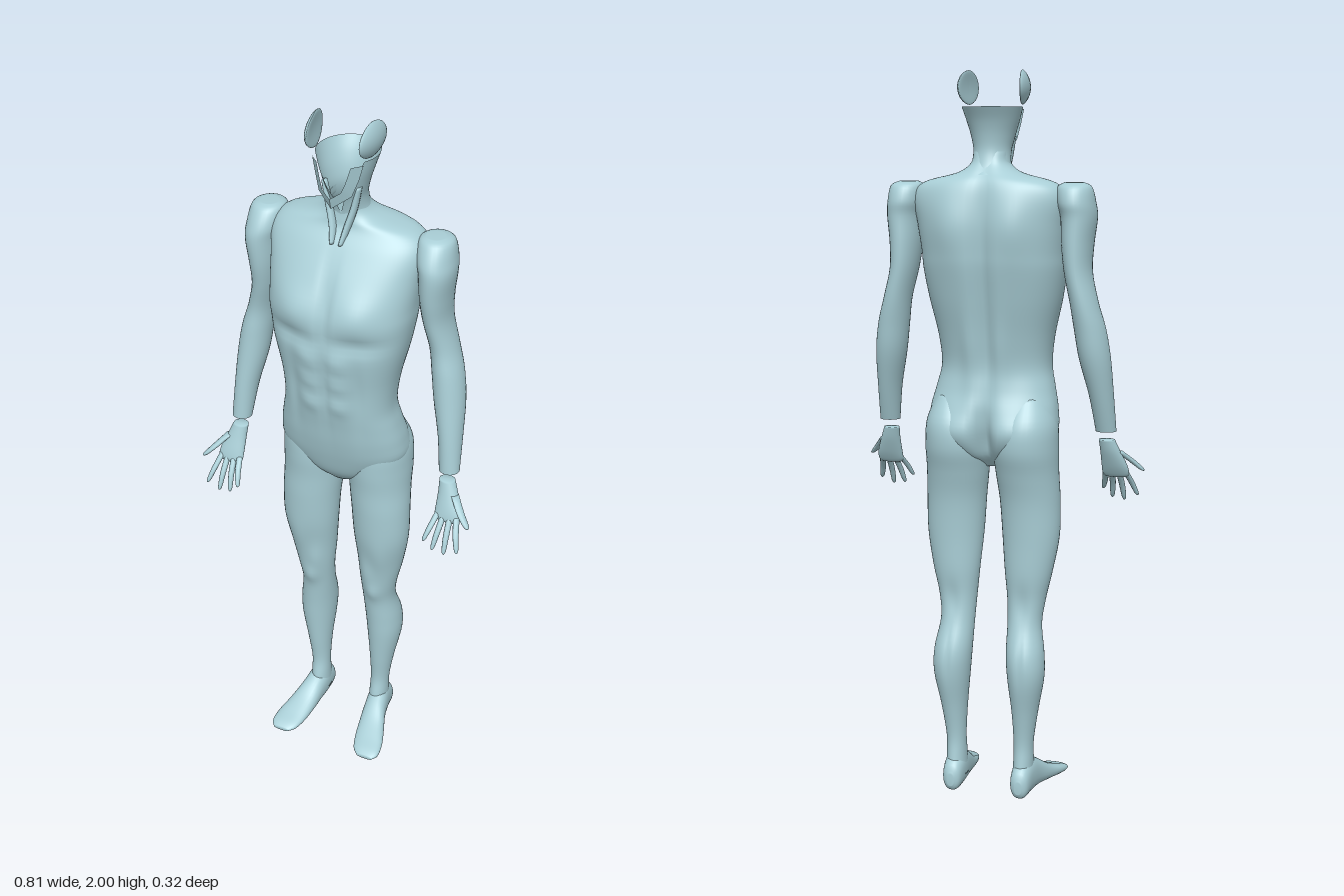
import * as THREE from 'three';

const skin = new THREE.MeshStandardMaterial({ color: 0xa9ced6, side: THREE.DoubleSide });
skin.name = 'paleBlue';

const spow = (v, e) => Math.sign(v) * Math.pow(Math.abs(v), e);

// Smooth (Catmull-Rom) subdivision of a list of section rows
function refine(rows, steps) {
  const out = [];
  const at = (i) => rows[Math.max(0, Math.min(rows.length - 1, i))];
  for (let i = 0; i < rows.length - 1; i++) {
    for (let s = 0; s < steps; s++) {
      const t = s / steps;
      out.push(rows[i].map((b, k) => {
        const a = at(i - 1)[k], c = at(i + 1)[k], d = at(i + 2)[k];
        return b + 0.5 * t * (c - a + t * (2 * a - 5 * b + 4 * c - d + t * (3 * (b - c) + d - a)));
      }));
    }
  }
  out.push(rows[rows.length - 1]);
  return out;
}

// Loft of superellipse sections. Row: [t, centre x, half width, low, high, front gap angle]
// axis 'y': rows go downwards, low/high are z. axis 'z': rows go forwards, low/high are y.
function loft(rows, { axis = 'y', segs = 32, steps = 5, n = 2, caps = [true, true], open = false, bumps = [] } = {}) {
  const R = refine(rows, steps), pos = [], idx = [], cols = open ? segs + 1 : segs;
  for (const [t, cx, hw, lo, hi, gap = 0] of R) {
    for (let j = 0; j < cols; j++) {
      const a = Math.PI / 2 + gap + (j / segs) * (Math.PI * 2 - 2 * gap);
      const s = Math.sin(a);
      const u = cx + hw * spow(Math.cos(a), 2 / n);
      let v = (lo + hi) / 2 + ((hi - lo) / 2) * spow(s, 2 / n);
      // muscle bumps: [x, y, radius x, radius y, amount, +1 front / -1 back]
      for (const [bx, by, rx, ry, amp, f] of bumps) {
        const ux = bx < 0.12 && cx === 0 ? Math.abs(u) : u;
        v += f * amp * Math.max(0, f * s) * Math.exp(-(((ux - bx) / rx) ** 2) - ((t - by) / ry) ** 2);
      }
      if (axis === 'y') pos.push(u, t, v); else pos.push(u, v, t);
    }
  }
  for (let i = 0; i < R.length - 1; i++) {
    for (let j = 0; j < segs; j++) {
      const k = (j + 1) % cols, a = i * cols + j, b = i * cols + k, c = a + cols, d = b + cols;
      idx.push(a, b, c, b, d, c);
    }
  }
  // end caps
  [0, R.length - 1].forEach((r, e) => {
    if (!caps[e] || open) return;
    const [t, cx, , lo, hi] = R[r], m = (lo + hi) / 2, centre = pos.length / 3;
    if (axis === 'y') pos.push(cx, t, m); else pos.push(cx, m, t);
    for (let j = 0; j < segs; j++) {
      const a = r * cols + j, b = r * cols + ((j + 1) % cols);
      if (e === 0) idx.push(centre, b, a); else idx.push(centre, a, b);
    }
  });
  return surface(pos, idx);
}

function surface(pos, idx) {
  const g = new THREE.BufferGeometry();
  g.setAttribute('position', new THREE.Float32BufferAttribute(pos, 3));
  g.setIndex(idx);
  g.computeVertexNormals();
  return g;
}

function mirrored(g) {
  const m = g.clone().scale(-1, 1, 1), ix = m.index;
  for (let i = 0; i < ix.count; i += 3) {
    const b = ix.getX(i + 1);
    ix.setX(i + 1, ix.getX(i + 2));
    ix.setX(i + 2, b);
  }
  m.computeVertexNormals();
  return m;
}

export function createModel() {
  const root = new THREE.Group();
  root.name = 'figure';
  const add = (name, geo) => {
    const m = new THREE.Mesh(geo, skin);
    m.name = name;
    root.add(m);
  };
  const pair = (name, geo) => {
    add('left' + name, geo);
    add('right' + name, mirrored(geo));
  };

  // Torso with chest, abdomen, spine and seat modelling
  const torsoBumps = [
    [0.09, 1.53, 0.06, 0.05, 0.014, 1], [0, 1.54, 0.014, 0.09, -0.014, 1],
    [0.1, 1.445, 0.08, 0.022, -0.012, 1], [0, 1.3, 0.01, 0.14, -0.007, 1],
    [0.09, 1.28, 0.018, 0.12, -0.008, 1],
    [0, 1.45, 0.025, 0.25, -0.022, -1], [0.09, 1.6, 0.05, 0.09, 0.014, -1],
    [0.04, 1.25, 0.025, 0.1, 0.01, -1], [0.085, 1.04, 0.05, 0.06, 0.014, -1],
    [0, 1.02, 0.022, 0.08, -0.045, -1],
  ];
  for (const y of [1.385, 1.315, 1.245]) torsoBumps.push([0.04, y, 0.028, 0.026, 0.008, 1]);
  add('torso', loft([
    [1.79, 0, 0.047, -0.08, 0.015], [1.76, 0, 0.052, -0.092, 0.015], [1.735, 0, 0.088, -0.11, 0.018],
    [1.71, 0, 0.18, -0.128, 0.025], [1.67, 0, 0.212, -0.14, 0.055], [1.6, 0, 0.205, -0.15, 0.1],
    [1.53, 0, 0.198, -0.15, 0.132], [1.48, 0, 0.195, -0.146, 0.143], [1.4, 0, 0.182, -0.13, 0.142],
    [1.3, 0, 0.16, -0.106, 0.13], [1.22, 0, 0.153, -0.092, 0.122], [1.16, 0, 0.165, -0.1, 0.11],
    [1.1, 0, 0.178, -0.118, 0.098], [1.04, 0, 0.178, -0.128, 0.082], [0.98, 0, 0.12, -0.105, 0.06],
    [0.94, 0, 0.04, -0.05, 0.03],
  ], { segs: 88, n: 2.35, caps: [false, true], bumps: torsoBumps }));

  // Flared collar of the neck, open at the front
  add('neckCollar', loft([
    [1.905, 0, 0.08, -0.115, 0.06, 0.95], [1.87, 0, 0.07, -0.097, 0.055, 0.8], [1.83, 0, 0.058, -0.085, 0.045, 0.6],
    [1.79, 0, 0.05, -0.082, 0.028, 0.25], [1.75, 0, 0.056, -0.094, 0.016, 0], [1.73, 0, 0.08, -0.11, 0.018, 0],
  ], { segs: 40, open: true }));

  // Tendons running from the neck to the breastbone
  pair('NeckTendon', loft([
    [1.83, 0.047, 0.007, 0.0, 0.022], [1.77, 0.034, 0.009, 0.0, 0.026],
    [1.72, 0.02, 0.009, 0.005, 0.038], [1.68, 0.012, 0.006, 0.03, 0.055],
  ], { segs: 12 }));

  // Jaw: two bent strips meeting at the chin
  pair('JawStrip', surface([
    0.068, 1.9, 0.035, 0.045, 1.9, 0.06,
    0.058, 1.86, 0.04, 0.034, 1.86, 0.066,
    0.044, 1.82, 0.05, 0.024, 1.835, 0.072,
    0, 1.79, 0.075, 0, 1.82, 0.084,
  ], [0, 2, 1, 1, 2, 3, 2, 4, 3, 3, 4, 5, 4, 6, 5, 5, 6, 7]));

  // Ear plates floating above the collar
  const ear = new THREE.SphereGeometry(1, 24, 16).scale(0.009, 0.045, 0.064);
  const ep = ear.attributes.position;
  for (let i = 0; i < ep.count; i++) {
    const y = ep.getY(i), z = ep.getZ(i);
    ep.setX(i, ep.getX(i) + 0.006 - 5 * y * y - 1.5 * z * z);
    ep.setY(i, y * (z > 0 ? 1 - 2 * z : 1));
  }
  ear.computeVertexNormals();
  pair('EarPlate', ear.rotateY(-0.12).translate(0.078, 1.956, 0.004));

  // Arms, open at the wrist
  pair('Arm', loft([
    [1.712, 0.23, 0.025, -0.07, -0.02], [1.7, 0.232, 0.045, -0.1, 0.002], [1.66, 0.236, 0.05, -0.115, 0.026],
    [1.62, 0.242, 0.047, -0.112, 0.034], [1.55, 0.24, 0.041, -0.113, 0.028], [1.48, 0.244, 0.036, -0.112, 0.014],
    [1.4, 0.262, 0.037, -0.108, 0.0], [1.33, 0.277, 0.042, -0.1, 0.005], [1.25, 0.289, 0.042, -0.088, 0.012],
    [1.15, 0.303, 0.033, -0.058, 0.022], [1.05, 0.312, 0.028, -0.025, 0.03],
  ], { caps: [true, false] }));

  // Hands: palm, four fingers and an outward thumb
  pair('Palm', loft([
    [1.025, 0.312, 0.022, -0.005, 0.03], [0.99, 0.32, 0.028, 0.005, 0.042],
    [0.95, 0.328, 0.036, 0.022, 0.056], [0.925, 0.33, 0.037, 0.036, 0.062], [0.915, 0.33, 0.028, 0.044, 0.06],
  ], { segs: 24 }));
  const digit = (x0, y0, z0, x1, y1, z1, r) => loft([0, 0.5, 0.9, 1].map((t, i) => {
    const w = r * [1, 0.95, 0.7, 0.25][i];
    const z = z0 + (z1 - z0) * t + 0.006 * Math.sin(t * Math.PI);
    return [y0 + (y1 - y0) * t, x0 + (x1 - x0) * t, w, z - w * 1.2, z + w * 1.2];
  }), { segs: 10, steps: 3 });
  [[0.303, 0.283, 0.868], [0.32, 0.309, 0.845], [0.338, 0.343, 0.84], [0.355, 0.38, 0.855]].forEach(([x0, x1, y1], i) =>
    pair('Finger' + (i + 1), digit(x0, 0.935, 0.046, x1, y1, 0.102, 0.0085)));
  pair('Thumb', digit(0.342, 0.99, 0.03, 0.4, 0.93, 0.08, 0.011));

  // Legs with thigh, knee and calf modelling
  pair('Leg', loft([
    [1.14, 0.105, 0.05, -0.085, 0.05], [1.07, 0.102, 0.08, -0.128, 0.066], [1.0, 0.098, 0.089, -0.133, 0.066],
    [0.93, 0.1, 0.087, -0.114, 0.06], [0.85, 0.106, 0.084, -0.096, 0.058], [0.75, 0.109, 0.08, -0.088, 0.05],
    [0.65, 0.105, 0.067, -0.085, 0.03], [0.57, 0.1, 0.054, -0.081, 0.022], [0.5, 0.098, 0.048, -0.09, 0.01],
    [0.42, 0.105, 0.053, -0.12, 0.002], [0.35, 0.108, 0.051, -0.122, -0.003], [0.25, 0.104, 0.037, -0.1, -0.012],
    [0.16, 0.1, 0.028, -0.086, -0.02], [0.1, 0.099, 0.028, -0.09, -0.01], [0.04, 0.098, 0.029, -0.1, 0],
  ], {
    segs: 40,
    bumps: [
      [0.075, 0.62, 0.025, 0.05, 0.008, 1], [0.13, 0.68, 0.03, 0.07, 0.006, 1], [0.1, 0.54, 0.025, 0.03, 0.008, 1],
      [0.1, 0.56, 0.02, 0.05, -0.008, -1], [0.105, 0.4, 0.008, 0.07, -0.005, -1],
    ],
  }));

  // Feet, turned slightly outwards
  pair('Foot', loft([
    [-0.112, 0.1, 0.01, 0.02, 0.055], [-0.097, 0.1, 0.026, 0.003, 0.085], [-0.05, 0.101, 0.032, 0.002, 0.11],
    [0, 0.107, 0.035, 0.004, 0.092], [0.05, 0.118, 0.041, 0.003, 0.06], [0.1, 0.13, 0.045, 0.001, 0.038],
    [0.14, 0.138, 0.04, 0, 0.024], [0.16, 0.141, 0.024, 0.003, 0.014],
  ], { axis: 'z', segs: 28, n: 2.3 }));

  return root;
}
